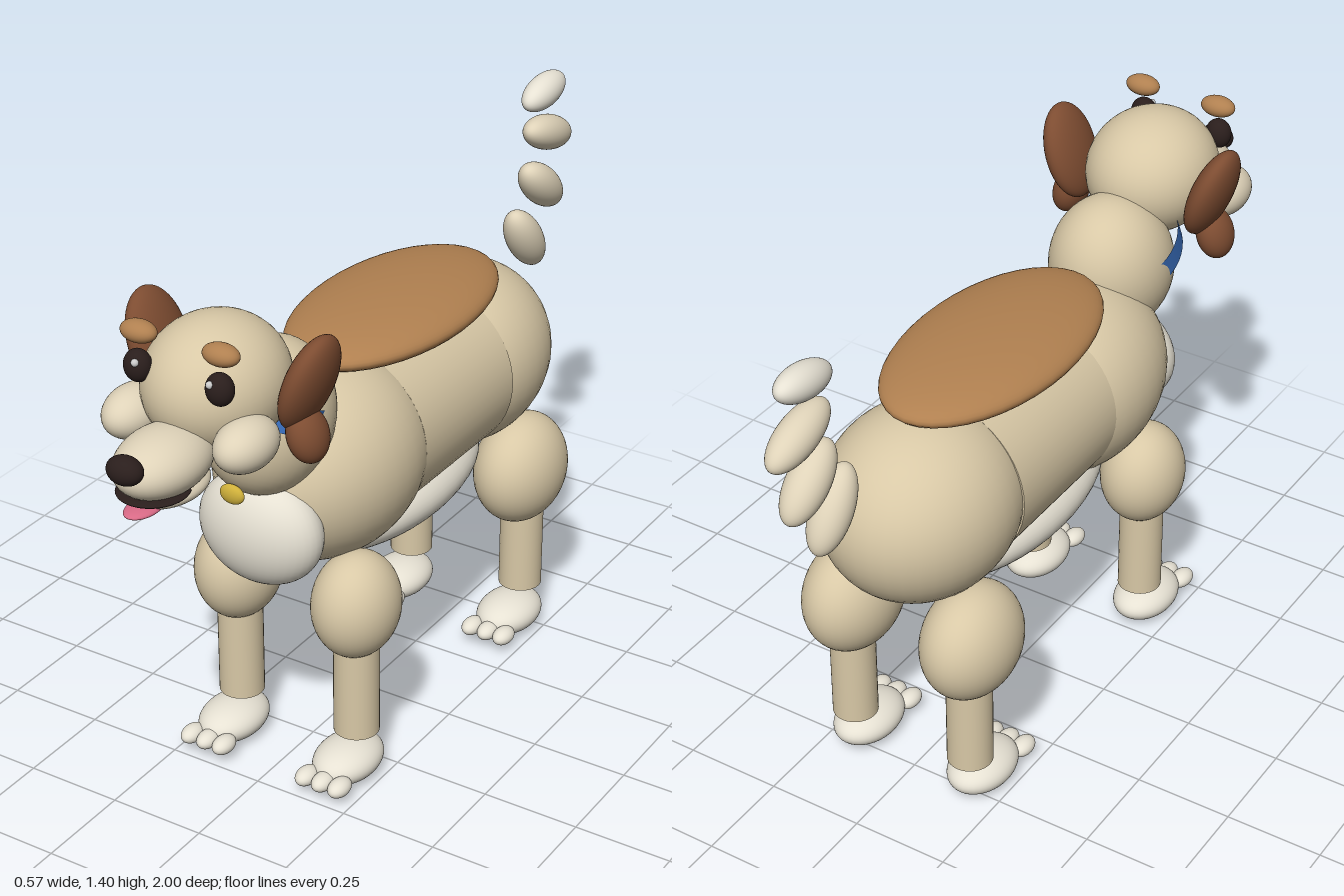
import * as THREE from 'three';

const mat = (color) => new THREE.MeshStandardMaterial({ color });
const tan = mat(0xd8c8a6), cream = mat(0xe6e1d3), pale = mat(0xded2b8);
const patch = mat(0xb08050), brown = mat(0x7d4c31), dark = mat(0x2a1e1c);
const blue = mat(0x3a70c0), gold = mat(0xcfb03a), pink = mat(0xd86a86), white = mat(0xffffff);

const ball = new THREE.SphereGeometry(1, 40, 28);

export function createModel() {
  const root = new THREE.Group();

  // Ellipsoid with centre c, radii r and optional rotation
  const blob = (name, material, c, r, rot = [0, 0, 0], parent = root) => {
    const m = new THREE.Mesh(ball, material);
    m.name = name;
    m.position.set(...c);
    m.scale.set(...r);
    m.rotation.set(...rot);
    parent.add(m);
    return m;
  };
  // The same on both sides of x = 0
  const pair = (name, material, [x, y, z], r, tilt = 0) => {
    blob(name + 'Left', material, [x, y, z], r, [0, 0, -tilt]);
    blob(name + 'Right', material, [-x, y, z], r, [0, 0, tilt]);
  };

  // Body
  blob('chest', tan, [0, 0.785, 0.2], [0.243, 0.25, 0.3]);
  blob('hips', tan, [0, 0.79, -0.44], [0.235, 0.24, 0.27]);
  const barrel = new THREE.Mesh(new THREE.CylinderGeometry(0.222, 0.222, 0.42, 48), tan);
  barrel.name = 'barrel';
  barrel.rotation.x = Math.PI / 2;
  barrel.position.set(0, 0.79, -0.13);
  root.add(barrel);
  blob('belly', cream, [0, 0.58, -0.08], [0.18, 0.1, 0.37]);
  blob('chestPatch', cream, [0, 0.71, 0.46], [0.165, 0.145, 0.096]);
  blob('backPatch', patch, [0, 1.043, -0.125], [0.205, 0.062, 0.377]);

  // Neck, collar and tag
  blob('neck', tan, [0, 0.99, 0.425], [0.155, 0.19, 0.17], [-0.4, 0, 0]);
  const collar = new THREE.Mesh(
    new THREE.CylinderGeometry(0.155, 0.155, 0.065, 48, 1, true),
    new THREE.MeshStandardMaterial({ color: 0x3a70c0, side: THREE.DoubleSide }));
  collar.name = 'collar';
  collar.position.set(0, 1.025, 0.465);
  collar.rotation.x = -0.47;
  root.add(collar);
  blob('tag', gold, [0, 0.85, 0.575], [0.033, 0.025, 0.014]);

  // Head
  blob('head', tan, [0, 1.165, 0.622], [0.166, 0.158, 0.183]);
  blob('muzzle', pale, [0, 1.06, 0.83], [0.098, 0.075, 0.138]);
  pair('cheek', pale, [0.15, 1.095, 0.728], [0.065, 0.061, 0.092]);
  blob('mouth', dark, [0, 1.005, 0.87], [0.083, 0.012, 0.085]);
  blob('tongue', pink, [0, 0.977, 0.905], [0.037, 0.012, 0.06]);
  blob('lowerJaw', pale, [0, 0.992, 0.81], [0.08, 0.034, 0.11]);
  blob('nose', dark, [0, 1.097, 0.967], [0.045, 0.034, 0.033]);
  pair('eye', dark, [0.109, 1.232, 0.763], [0.034, 0.039, 0.03]);
  pair('eyeGlint', white, [0.099, 1.25, 0.787], [0.009, 0.009, 0.009]);
  pair('brow', patch, [0.109, 1.312, 0.755], [0.046, 0.026, 0.031]);
  pair('ear', brown, [0.205, 1.187, 0.56], [0.046, 0.126, 0.092], 0.33);
  pair('earTip', brown, [0.21, 1.066, 0.576], [0.045, 0.067, 0.056], -0.3);

  // Legs: thigh, shin, paw and three toes
  const shinGeo = new THREE.CylinderGeometry(0.057, 0.057, 0.32, 32);
  const leg = (name, side, z, thighY, thigh, pawZ) => {
    const g = new THREE.Group();
    g.name = name;
    const x = 0.17 * side;
    blob('thigh', tan, [x, thighY, z + (thigh[2] > 0.14 ? 0.015 : 0)], thigh, [0, 0, 0], g);
    const shin = new THREE.Mesh(shinGeo, tan);
    shin.name = 'shin';
    shin.position.set(x, 0.277, z);
    g.add(shin);
    blob('paw', cream, [x, 0.053, pawZ], [0.079, 0.05, 0.109], [0, 0, 0], g);
    for (const i of [-1, 0, 1])
      blob('toe', cream, [x + i * 0.047, 0.047, pawZ + 0.113], [0.026, 0.022, 0.038], [0, 0, 0], g);
    root.add(g);
  };
  for (const [side, label] of [[1, 'Left'], [-1, 'Right']]) {
    leg('frontLeg' + label, side, 0.314, 0.476, [0.106, 0.137, 0.122], 0.353);
    leg('hindLeg' + label, side, -0.505, 0.474, [0.114, 0.148, 0.152], -0.45);
  }

  // Tail: separate beads [y, z, half length, radius, tilt]
  const tail = [
    [0.973, -0.786, 0.11, 0.05, 0.62],
    [1.096, -0.866, 0.106, 0.05, 0.87],
    [1.235, -0.893, 0.108, 0.047, 1.25],
    [1.358, -0.866, 0.091, 0.042, 1.72],
  ];
  tail.forEach(([y, z, l, r, a], i) =>
    blob('tailBead' + (i + 1), i === 3 ? cream : pale, [0, y, z], [r, l, r], [a, 0, 0]));

  return root;
}
